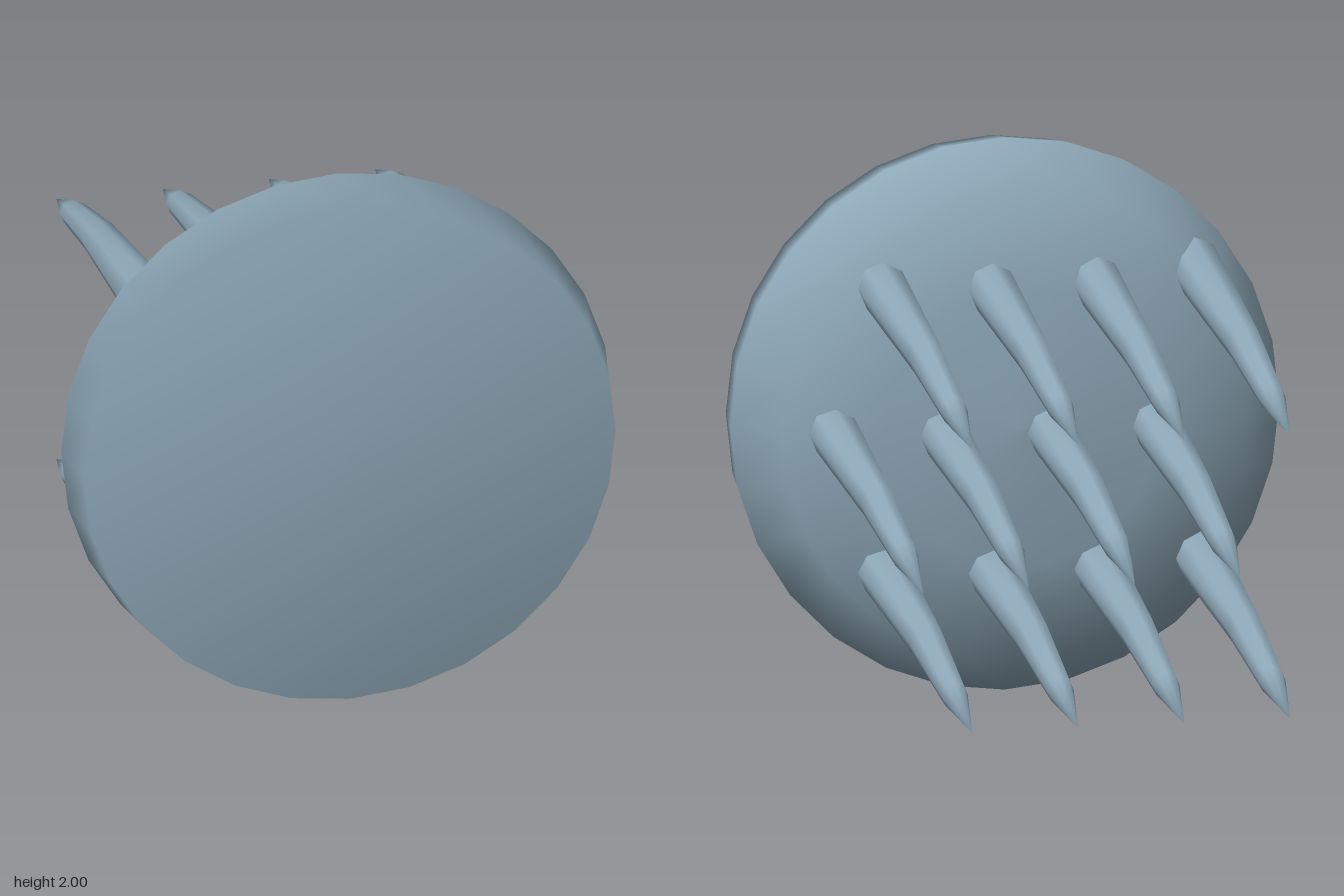
import * as THREE from 'three';
import { mergeVertices } from 'three/addons/utils/BufferGeometryUtils.js';

const steel = new THREE.MeshStandardMaterial({ color: 0x8ea8b8 });
steel.name = 'blueGreySteel';

// Lathe around the z axis from [z, radius] pairs, ordered back to front
function latheZ(profile, sides) {
  const points = profile.map(([z, r]) => new THREE.Vector2(r, z));
  return new THREE.LatheGeometry(points, sides).rotateX(Math.PI / 2);
}

// Tapered spike whose centre line droops towards the tip: [z, radius, height offset]
function spikeGeometry() {
  const sections = [
    [-0.92, 0, -0.305],
    [-0.63, 0.049, -0.223],
    [-0.2, 0.067, -0.115],
    [0.6, 0.096, 0.022],
    [0.6, 0, 0.022],
  ];
  const geo = latheZ(sections, 8);
  const pos = geo.attributes.position;
  for (let i = 0; i < pos.count; i++) {
    const z = pos.getZ(i);
    const s = sections.find((c) => Math.abs(c[0] - z) < 1e-4);
    pos.setY(i, pos.getY(i) + s[2]);
  }
  geo.deleteAttribute('uv');
  geo.deleteAttribute('normal');
  const merged = mergeVertices(geo, 1e-4);
  merged.computeVertexNormals();
  return merged;
}

export function createModel() {
  const group = new THREE.Group();
  group.name = 'spikedDisc';

  // Round head: flat front, bevelled rim, shallow domed back
  const disc = new THREE.Mesh(latheZ([
    [0.395, 0], [0.42, 0.5], [0.52, 0.855], [0.7, 1], [0.925, 0.965], [0.93, 0],
  ], 28), steel);
  disc.name = 'disc';
  disc.position.y = 1;
  group.add(disc);

  // Three staggered rows of four spikes
  const spike = spikeGeometry();
  for (let row = 0; row < 3; row++) {
    const startX = row === 1 ? -0.49 : -0.67;
    for (let col = 0; col < 4; col++) {
      const mesh = new THREE.Mesh(spike, steel);
      mesh.name = `spike${row + 1}_${col + 1}`;
      mesh.position.set(startX + col * 0.386, 1.51 - row * 0.513, 0);
      group.add(mesh);
    }
  }
  return group;
}
